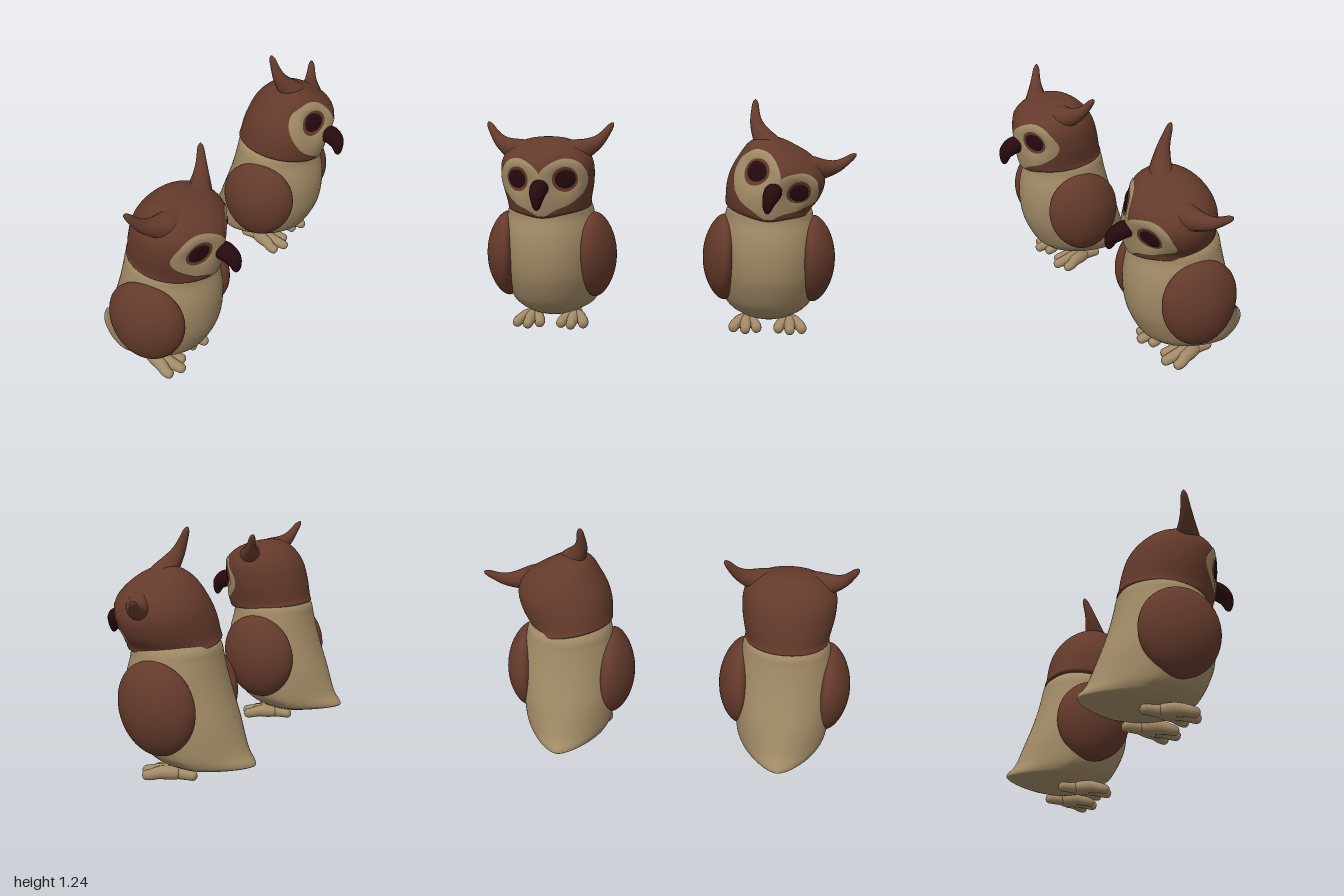
import * as THREE from 'three';
import { mergeVertices } from 'three/addons/utils/BufferGeometryUtils.js';

const V = (x, y, z) => new THREE.Vector3(x, y, z);
const { smoothstep, lerp } = THREE.MathUtils;

// Weld, bend by an optional rule, and give smooth normals
function finish(geo, warp) {
  geo.deleteAttribute('uv');
  geo.deleteAttribute('normal');
  const g = mergeVertices(geo, 1e-5);
  const p = g.attributes.position;
  if (warp) {
    for (let i = 0; i < p.count; i++) {
      const q = warp(V(p.getX(i), p.getY(i), p.getZ(i)));
      p.setXYZ(i, q.x, q.y, q.z);
    }
  }
  g.computeVertexNormals();
  return g;
}

// Grid surface: u runs around, v runs up (or outwards)
function surface(nu, nv, fn, flip = false, warp) {
  const pos = [], idx = [];
  for (let i = 0; i <= nv; i++) {
    for (let j = 0; j <= nu; j++) pos.push(...fn((j % nu) / nu, i / nv).toArray());
  }
  for (let i = 0; i < nv; i++) {
    for (let j = 0; j < nu; j++) {
      const a = i * (nu + 1) + j, b = a + 1, c = a + nu + 1, d = c + 1;
      if (flip) idx.push(a, b, c, b, d, c);
      else idx.push(a, c, b, b, c, d);
    }
  }
  const g = new THREE.BufferGeometry();
  g.setAttribute('position', new THREE.Float32BufferAttribute(pos, 3));
  g.setIndex(idx);
  return finish(g, warp);
}

// Limb that follows a path with changing radius and has rounded ends
function limb(points, radii, warp) {
  const n = 44, m = 16, cap = 0.1;
  const curve = new THREE.CatmullRomCurve3(points);
  const size = new THREE.CatmullRomCurve3(radii.map((r, i) => V(i, r, 0)), false, 'catmullrom', 0.5);
  const g = new THREE.TubeGeometry(curve, n, 1, m);
  const p = g.attributes.position;
  for (let i = 0; i <= n; i++) {
    const t = i / n, c = curve.getPointAt(t);
    const e = Math.max(0, 1 - Math.min(t, 1 - t) / cap);
    const r = size.getPoint(t).y * Math.sqrt(1 - e * e);
    for (let j = 0; j <= m; j++) {
      const k = i * (m + 1) + j;
      const q = V(p.getX(k), p.getY(k), p.getZ(k)).sub(c).multiplyScalar(r).add(c);
      p.setXYZ(k, q.x, q.y, q.z);
    }
  }
  return finish(g, warp);
}

// Cross-sections: height, back x, front x, half width, how pointed the back is
const bodyRows = [
  [0.047, -0.12, -0.06, 0], [0.052, -0.2, -0.01, 0.075, 0.2], [0.072, -0.31, 0.06, 0.135, 0.4],
  [0.093, -0.4, 0.11, 0.182, 0.6], [0.115, -0.41, 0.145, 0.21, 0.6], [0.17, -0.367, 0.2, 0.24, 0.35],
  [0.3, -0.315, 0.262, 0.258, 0.06], [0.43, -0.267, 0.28, 0.262, 0], [0.53, -0.237, 0.272, 0.255, 0],
  [0.62, -0.216, 0.25, 0.237, 0], [0.68, -0.202, 0.245, 0.221, 0], [0.74, -0.15, 0.2, 0.17, 0]];
const headRows = [
  [0.672, -0.185, 0.21, 0.2], [0.678, -0.203, 0.262, 0.222], [0.71, -0.195, 0.285, 0.225],
  [0.8, -0.18, 0.315, 0.244], [0.89, -0.155, 0.322, 0.248], [0.95, -0.122, 0.29, 0.23],
  [1.0, -0.076, 0.225, 0.185], [1.03, -0.03, 0.145, 0.12], [1.042, 0.01, 0.085, 0.06], [1.045, 0.045, 0.045, 0]];

function sections(rows, mid) {
  const a = new THREE.CatmullRomCurve3(rows.map(r => V(r[0], r[1], r[2])), false, 'catmullrom', 0.5);
  const b = new THREE.CatmullRomCurve3(rows.map(r => V(r[3], r[4] || 0, 0)), false, 'catmullrom', 0.5);
  return t => {
    const p = a.getPoint(t), q = b.getPoint(t);
    return { y: p.x, back: p.y, front: p.z, c: p.y + (p.z - p.y) * mid, w: Math.max(0, q.x), k: q.y };
  };
}
const bodyAt = sections(bodyRows, 0.48), headAt = sections(headRows, 0.5);

function ringPoint(s, u) {
  const co = Math.cos(u * Math.PI * 2), si = Math.sin(u * Math.PI * 2);
  const pointed = (1 - s.k) * Math.abs(co) + s.k * (1 - Math.pow(Math.abs(si), 1.5));
  const x = co >= 0 ? s.c + (s.front - s.c) * co : s.c - (s.c - s.back) * pointed;
  return V(x, s.y, s.w * si);
}

// Point on the front of the head, lifted off the surface
function onFace(y, z, lift) {
  let lo = 0.1, hi = 1;
  for (let i = 0; i < 24; i++) {
    const m = (lo + hi) / 2;
    if (headAt(m).y < y) lo = m; else hi = m;
  }
  const s = headAt(lo);
  const n = Math.sqrt(Math.max(0, 1 - (z / s.w) ** 2));
  const p = V(s.c + (s.front - s.c) * n, y, z);
  return p.add(V(p.x - s.c, 0, z).normalize().multiplyScalar(lift));
}

// Half of the heart-shaped face, as (z, y)
const faceOutline = new THREE.CatmullRomCurve3([
  [0, 0.875], [0.05, 0.925], [0.12, 0.95], [0.19, 0.927], [0.23, 0.85],
  [0.213, 0.775], [0.15, 0.725], [0.07, 0.705], [0, 0.69], [0, 0.78]].map(p => V(p[0], p[1], 0)), true);

// Shapes the head: eye sockets sink in, the collar dips in front, the head tips sideways
function headRule(tilt) {
  return p => {
    const socket = Math.exp(-(((Math.abs(p.z) - 0.125) / 0.075) ** 2) - ((p.y - 0.84) / 0.08) ** 2);
    const x = p.x - 0.05 * socket * smoothstep(p.x, 0.05, 0.2);
    const dip = 0.1 * p.x + 0.07 * Math.max(0, p.x) * Math.exp(-((p.z / 0.1) ** 2));
    const y = p.y - dip * (1 - smoothstep(p.y, 0.66, 0.78));
    const a = tilt * smoothstep(y, 0.6, 0.85) * (1 + 0.22 * Math.tanh(p.z / 0.15));
    const dy = y - 0.755;
    return V(x, 0.755 + dy * Math.cos(a) - p.z * Math.sin(a), dy * Math.sin(a) + p.z * Math.cos(a));
  };
}

export function createModel() {
  const mat = (name, color) => new THREE.MeshStandardMaterial({ name, color });
  const brown = mat('brown plumage', 0x643a2b);
  const cream = mat('cream plumage', 0xa18a66);
  const dark = mat('dark beak and pupil', 0x260a0e);

  function owl(tilt) {
    const group = new THREE.Group();
    const warp = headRule(tilt);
    const add = (parent, name, geo, material) => {
      const m = new THREE.Mesh(geo, material);
      m.name = name;
      parent.add(m);
    };

    add(group, 'body', surface(64, 66, (u, v) => ringPoint(bodyAt(v), u)), cream);

    const head = new THREE.Group();
    head.name = 'head';
    group.add(head);
    add(head, 'skull', surface(96, 80, (u, v) => ringPoint(headAt(v), u), false, warp), brown);
    add(head, 'beak', limb([V(0.28, 0.798, 0), V(0.34, 0.797, 0), V(0.377, 0.772, 0), V(0.397, 0.725, 0)],
      [0.042, 0.047, 0.04, 0.016], warp), dark);

    for (const s of [1, -1]) {
      const side = s > 0 ? 'left' : 'right';

      // Face disc, iris and pupil follow the curve of the head
      add(head, side + 'FaceDisc', surface(60, 16, (u, v) => {
        const o = faceOutline.getPoint(u);
        const z = Math.max(0, lerp(0.12, o.x, v));
        return onFace(lerp(0.838, o.y, v), z * s, 0.004);
      }, s < 0, warp), cream);
      const disc = (rz, ry, lift, dome) => surface(32, 8, (u, v) => {
        const t = u * Math.PI * 2;
        return onFace(0.842 + ry * v * Math.cos(t), s * (0.122 + rz * v * Math.sin(t)), lift + dome * (1 - v * v));
      }, s < 0, warp);
      add(head, side + 'Iris', disc(0.06, 0.066, 0.007, 0.002), brown);
      add(head, side + 'Pupil', disc(0.048, 0.049, 0.01, 0.016), dark);

      // Ear tuft
      add(head, side + 'EarTuft', limb(
        [V(0.11, 0.93, s * 0.03), V(0.095, 0.965, s * 0.15), V(0.045, 1.02, s * 0.265), V(-0.004, 1.118, s * 0.344)],
        [0.08, 0.078, 0.05, 0.028, 0.014], warp), brown);

      // Wing: egg-shaped pad wrapped round the body
      add(group, side + 'Wing', finish(new THREE.SphereGeometry(1, 48, 32), p => {
        const x = 0.01 + p.x * 0.212 * (1 + 0.06 * p.y) + 0.015 * p.y, y = 0.4 + p.y * 0.235;
        const wrap = 0.267 - 0.9 * x * x - 0.55 * (y - 0.4) ** 2;
        return V(x, y, p.z * 0.087 + s * wrap);
      }), brown);

      // Foot with three front toes and one back toe
      const foot = new THREE.Group();
      foot.name = side + 'Foot';
      group.add(foot);
      [[0.12, 0.06], [0.155, 0.118], [0.12, 0.18]].forEach(([x, z], i) => {
        add(foot, 'toe' + (i + 1), limb(
          [V(-0.06, 0.042, s * 0.115), V(0.03, 0.046, s * lerp(0.115, z, 0.6)),
            V(x - 0.04, 0.034, s * z), V(x, 0.026, s * z)],
          [0.03, 0.036, 0.03, 0.024]), cream);
      });
      add(foot, 'backToe', limb(
        [V(-0.15, 0.04, s * 0.115), V(-0.1, 0.041, s * 0.115), V(-0.03, 0.043, s * 0.115), V(0.06, 0.046, s * 0.115)],
        [0.024, 0.028, 0.034, 0.036]), cream);
    }
    return group;
  }

  const model = new THREE.Group();
  const upright = owl(0);
  upright.name = 'uprightOwl';
  upright.position.z = 0.645;
  const tilted = owl(-0.49);
  tilted.name = 'tiltedOwl';
  tilted.position.z = -0.535;
  model.add(upright, tilted);
  return model;
}
